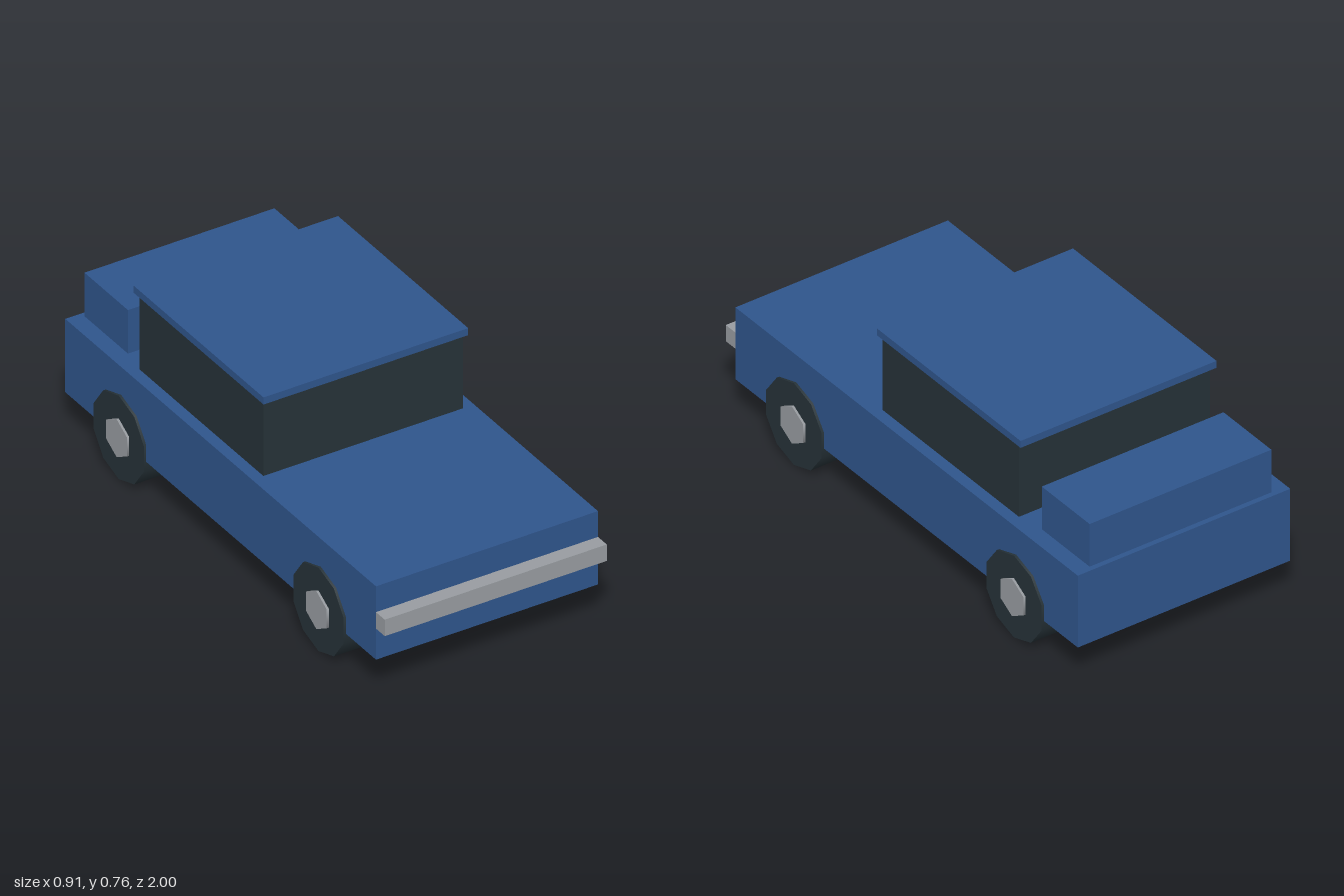
import * as THREE from 'three';

const paint = new THREE.MeshStandardMaterial({ name: 'blue paint', color: 0x2f558c });
const dark = new THREE.MeshStandardMaterial({ name: 'dark glass and rubber', color: 0x263238 });
const metal = new THREE.MeshStandardMaterial({ name: 'grey metal', color: 0x989ca1 });

// Box centred on x, given its width and its y and z ranges
function block(name, material, width, y0, y1, z0, z1) {
  const mesh = new THREE.Mesh(new THREE.BoxGeometry(width, y1 - y0, z1 - z0), material);
  mesh.position.set(0, (y0 + y1) / 2, (z0 + z1) / 2);
  mesh.name = name;
  return mesh;
}

// Cylinder lying along x, with a corner pointing straight up
function disc(name, material, radius, width, sides) {
  const geometry = new THREE.CylinderGeometry(radius, radius, width, sides, 1, false, Math.PI / 2);
  geometry.rotateZ(Math.PI / 2);
  const mesh = new THREE.Mesh(geometry, material);
  mesh.name = name;
  return mesh;
}

export function createModel() {
  const car = new THREE.Group();
  car.name = 'car';

  car.add(
    block('body', paint, 0.872, 0.15, 0.44, -1, 0.945),
    block('cabin', dark, 0.784, 0.44, 0.735, -0.605, 0.17),
    block('roof', paint, 0.804, 0.735, 0.763, -0.628, 0.187),
    block('rearBox', paint, 0.746, 0.44, 0.612, -0.98, -0.708),
    block('frontBumper', metal, 0.872, 0.273, 0.338, 0.945, 1),
  );

  // Wheels: ten-sided tyres with six-sided hubs showing on both faces
  for (const [end, z] of [['front', 0.6], ['rear', -0.65]]) {
    for (const [side, sign] of [['Left', 1], ['Right', -1]]) {
      const wheel = new THREE.Group();
      wheel.name = `${end}${side}Wheel`;
      wheel.add(disc('tyre', dark, 0.165, 0.115, 10), disc('hub', metal, 0.075, 0.132, 6));
      wheel.position.set(sign * 0.388, 0.165, z);
      car.add(wheel);
    }
  }
  return car;
}
